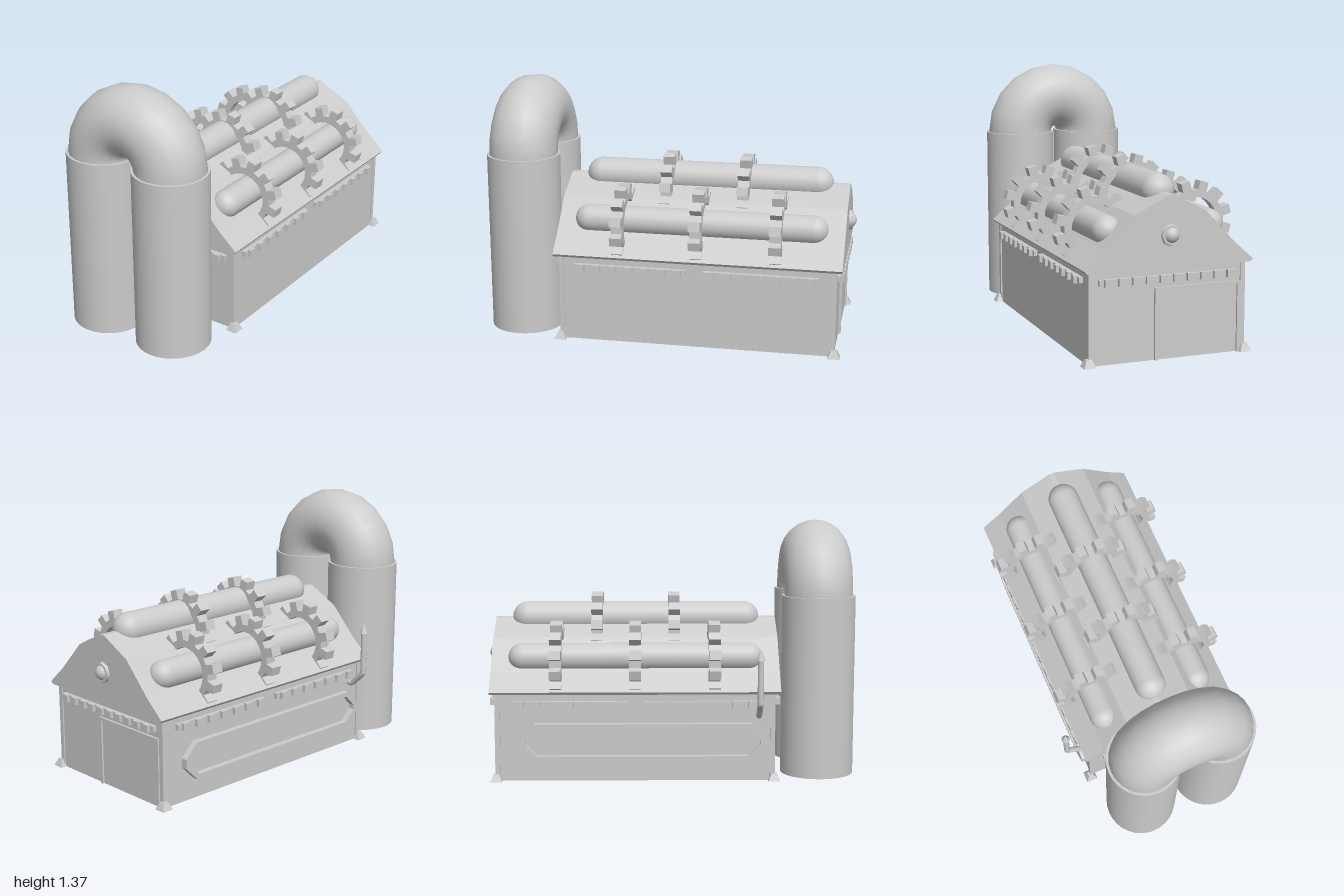
import * as THREE from 'three';

const CX = 0.03, CZ = -0.19;      // centre of the building
const HW = 0.415, HD = 0.735;     // half width and half depth of the walls

export function createModel() {
  const model = new THREE.Group();
  const mat = new THREE.MeshStandardMaterial({ color: 0xcccccc });
  const thin = new THREE.MeshStandardMaterial({ color: 0xcccccc, side: THREE.DoubleSide });

  function add(name, geo, x = 0, y = 0, z = 0, material = mat, parent = model) {
    const mesh = new THREE.Mesh(geo, material);
    mesh.name = name;
    mesh.position.set(x, y, z);
    parent.add(mesh);
    return mesh;
  }
  const box = (name, w, h, d, x, y, z, parent) =>
    add(name, new THREE.BoxGeometry(w, h, d), x, y, z, mat, parent);
  const shapeOf = pts => new THREE.Shape(pts.map(p => new THREE.Vector2(p[0], p[1])));
  const extrude = (shape, depth) => {
    const g = new THREE.ExtrudeGeometry(shape, { depth, bevelEnabled: false, curveSegments: 12 });
    return g.translate(0, 0, -depth / 2);
  };

  // Twin upright pipes joined by an arched bend
  for (const s of [-1, 1]) {
    const x = CX + s * 0.21;
    add('uprightPipe', new THREE.CylinderGeometry(0.198, 0.198, 0.97, 32, 1, true), x, 0.485, 0.798, thin);
    add('pipeRim', new THREE.RingGeometry(0.17, 0.198, 32).rotateX(-Math.PI / 2), x, 0.97, 0.798, thin);
  }
  add('pipeBend', new THREE.TorusGeometry(0.21, 0.185, 24, 10, Math.PI), CX, 0.97, 0.798, thin);

  // Hollow walls, open underneath
  const outline = shapeOf([[-HW, -HD], [HW, -HD], [HW, HD], [-HW, HD]]);
  outline.holes.push(new THREE.Path([[-1, -1], [-1, 1], [1, 1], [1, -1]]
    .map(([a, b]) => new THREE.Vector2(a * (HW - 0.008), b * (HD - 0.008)))));
  add('walls', extrude(outline, 0.47).rotateX(-Math.PI / 2), CX, 0.235, CZ);

  // Corner posts with flared feet
  for (const sx of [-1, 1]) for (const sz of [-1, 1]) {
    box('cornerPost', 0.026, 0.47, 0.026, CX + sx * (HW - 0.006), 0.235, CZ + sz * (HD - 0.006));
    const foot = new THREE.CylinderGeometry(0.02, 0.045, 0.04, 4, 1).rotateY(Math.PI / 4);
    add('foot', foot.toNonIndexed(), CX + sx * (HW + 0.006), 0.02, CZ + sz * (HD + 0.003)).geometry.computeVertexNormals();
  }

  // Roof with a broken slope and a narrow ridge
  const slope = [[0.44, 0.468], [0.45, 0.482], [0.345, 0.575], [0.19, 0.74], [0.015, 0.83]];
  const profile = [...slope, ...slope.map(([x, y]) => [-x, y]).reverse()];
  add('roof', extrude(shapeOf(profile), 1.54), CX, 0, CZ);

  // Capsule tanks lying along the roof
  function tank(x, y, r) {
    add('roofTank', new THREE.CapsuleGeometry(r, 1.36 - 2 * r, 8, 24).rotateX(Math.PI / 2), x, y, CZ);
  }
  tank(CX, 0.83, 0.085);
  tank(CX - 0.276, 0.645, 0.076);
  tank(CX + 0.276, 0.645, 0.076);

  // Toothed rings around the tanks
  const TEETH = 12, pts = [];
  for (let i = 0; i < TEETH; i++) {
    const mid = (i + 0.5) * Math.PI * 2 / TEETH;
    for (const [da, r] of [[-0.15, 0.163], [-0.115, 0.21], [0.115, 0.21], [0.15, 0.163]])
      pts.push([Math.cos(mid + da) * r, Math.sin(mid + da) * r]);
  }
  const gearShape = shapeOf(pts);
  gearShape.holes.push(new THREE.Path().absarc(0, 0, 0.125, 0, Math.PI * 2, true));
  const gearGeo = extrude(gearShape, 0.062);
  for (const z of [0.02, -0.4]) add('ridgeGear', gearGeo, CX, 0.757, z);
  for (const z of [0.23, -0.19, -0.61])
    for (const s of [-1, 1]) add('sideGear', gearGeo, CX + s * 0.276, 0.63, z);

  // Toothed trim strips under the eaves
  function trim(length, count, x, z, angle) {
    const g = new THREE.Group();
    g.name = 'eaveTrim';
    box('trimBar', length, 0.03, 0.022, 0, 0, 0.011, g);
    const step = (length - 0.085) / (count - 1);
    for (let i = 0; i < count; i++)
      box('trimTooth', 0.038, 0.038, 0.022, (i - (count - 1) / 2) * step, 0, 0.029, g);
    g.position.set(x, 0.415, z);
    g.rotation.y = angle;
    model.add(g);
  }
  for (const s of [-1, 1]) {
    for (const z of [0.165, -0.535]) trim(0.61, 7, CX + s * HW, z, s * Math.PI / 2);
    trim(0.74, 10, CX, CZ + s * HD, s > 0 ? 0 : Math.PI);
  }

  // Rear doorway: boxed porch reaching inside, with a slim frame
  box('doorBox', 0.45, 0.355, 0.33, -0.13, 0.1785, -0.763);
  for (const x of [-0.355, 0.095]) box('doorJamb', 0.016, 0.365, 0.02, x, 0.1825, -0.928);
  box('doorLintel', 0.466, 0.016, 0.02, -0.13, 0.36, -0.928);

  // Long frame with cut corners on one side wall
  const octagon = (w, h, c) => [[-w, -h + c], [-w + c, -h], [w - c, -h], [w, -h + c],
    [w, h - c], [w - c, h], [-w + c, h], [-w, h - c]];
  const frame = shapeOf(octagon(0.65, 0.1, 0.075));
  frame.holes.push(new THREE.Path(octagon(0.622, 0.074, 0.062).reverse().map(p => new THREE.Vector2(...p))));
  add('sideFrame', extrude(frame, 0.034).rotateY(Math.PI / 2), CX - HW - 0.017, 0.212, -0.15);

  // Bent side chimney with a pointed cap
  const bend = new THREE.CurvePath();
  const path = [[-0.38, 0.355], [-0.41, 0.355], [-0.488, 0.43], [-0.488, 0.67]]
    .map(([x, y]) => new THREE.Vector3(x, y, 0.465));
  for (let i = 0; i < 3; i++) bend.add(new THREE.LineCurve3(path[i], path[i + 1]));
  add('sideChimney', new THREE.TubeGeometry(bend, 40, 0.016, 10));
  add('chimneyCap', new THREE.ConeGeometry(0.023, 0.06, 10), -0.488, 0.692, 0.465);

  // Round boss on the rear gable
  const boss = new THREE.CylinderGeometry(0.052, 0.058, 0.022, 8).rotateX(-Math.PI / 2);
  add('gableRing', boss, CX, 0.632, -0.965);
  add('gableKnob', new THREE.SphereGeometry(0.042, 16, 12), CX, 0.632, -0.958);

  return model;
}
